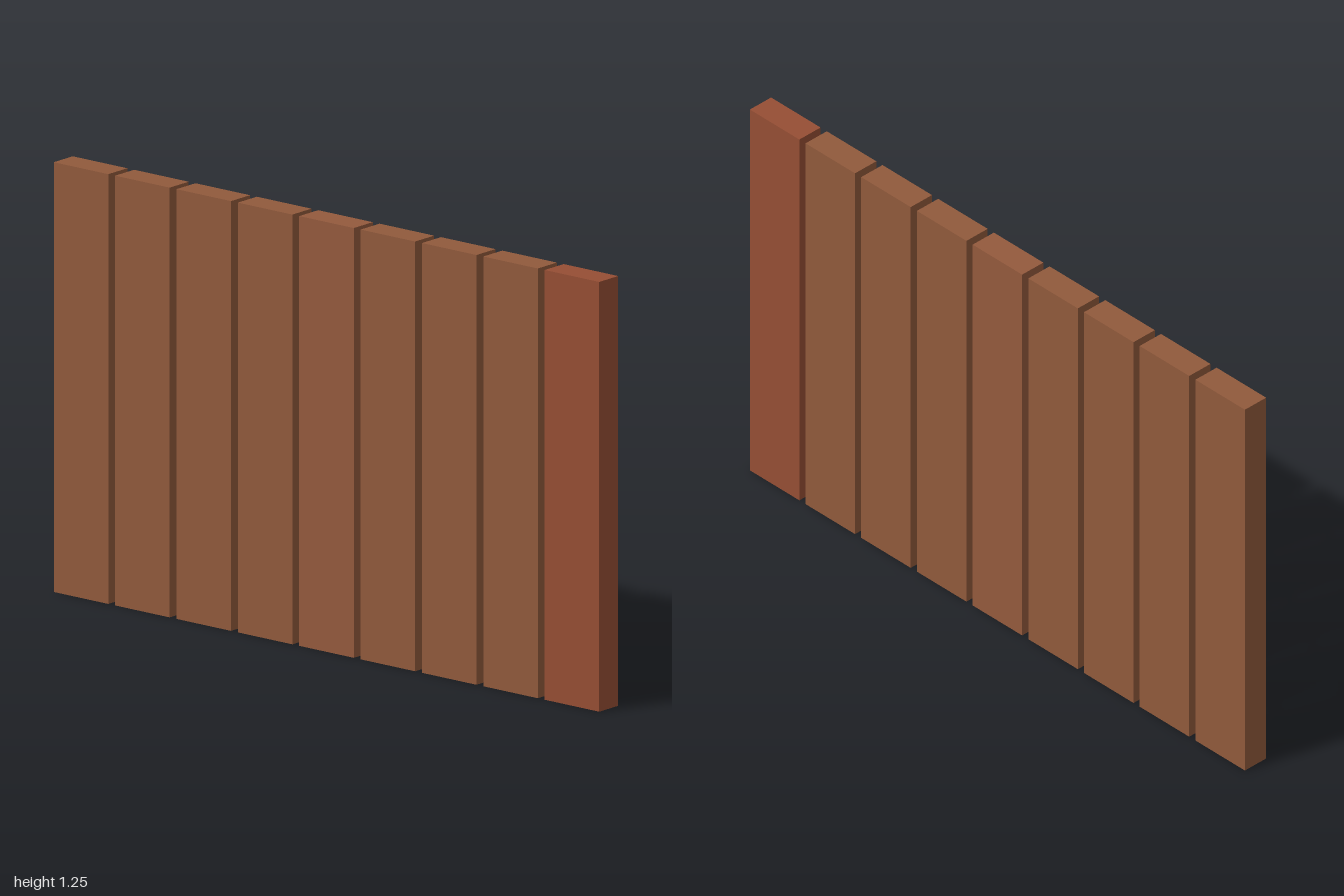
import * as THREE from 'three';

const COUNT = 9;
const HEIGHT = 1.25;
const THICKNESS = 0.083;
const WIDTH = 0.2;
const PITCH = (2 - WIDTH) / (COUNT - 1);

export function createModel() {
  const fence = new THREE.Group();
  fence.name = 'plankFence';

  const brown = new THREE.MeshStandardMaterial({ color: 0x915a3c });
  const warmBrown = new THREE.MeshStandardMaterial({ color: 0x945a3d });
  const redBrown = new THREE.MeshStandardMaterial({ color: 0x964e34 });
  const board = new THREE.BoxGeometry(THICKNESS, HEIGHT, WIDTH);

  // Upright boards in a row from back to front; the front one is redder
  for (let i = 0; i < COUNT; i++) {
    const isFront = i === COUNT - 1;
    const isMiddle = i === (COUNT - 1) / 2;
    const plank = new THREE.Mesh(board, isFront ? redBrown : isMiddle ? warmBrown : brown);
    plank.name = isFront ? 'frontPlank' : `plank${i + 1}`;
    plank.position.set(0, HEIGHT / 2, (i - (COUNT - 1) / 2) * PITCH);
    fence.add(plank);
  }
  return fence;
}
